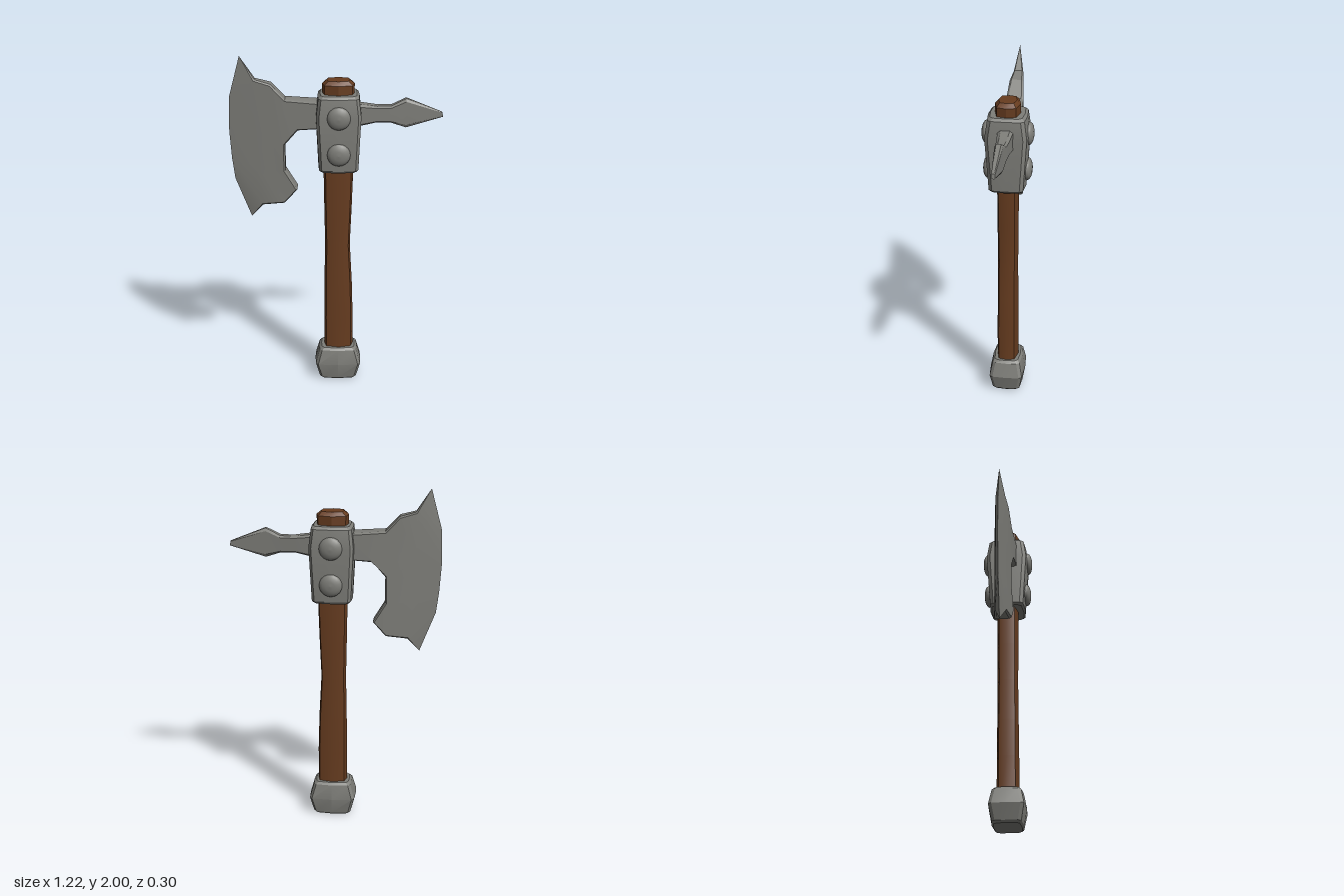
import * as THREE from 'three';
import { toCreasedNormals } from 'three/addons/utils/BufferGeometryUtils.js';

const steel = new THREE.MeshStandardMaterial({ color: 0x7f7f7a });
steel.name = 'steel grey';
const wood = new THREE.MeshStandardMaterial({ color: 0x683d20 });
wood.name = 'wood brown';

// Collects polygons as triangle fans, dropping collapsed triangles
function fromPolygons(polygons, crease = 0.5) {
  const pos = [];
  const tri = new THREE.Triangle();
  for (const p of polygons) {
    for (let i = 1; i < p.length - 1; i++) {
      tri.set(new THREE.Vector3(...p[0]), new THREE.Vector3(...p[i]), new THREE.Vector3(...p[i + 1]));
      if (tri.getArea() > 1e-8) pos.push(...p[0], ...p[i], ...p[i + 1]);
    }
  }
  const g = new THREE.BufferGeometry();
  g.setAttribute('position', new THREE.Float32BufferAttribute(pos, 3));
  g.computeVertexNormals();
  return toCreasedNormals(g, crease);
}

// Skins a stack of rings and caps both ends
function loft(rings, crease) {
  const n = rings[0].length;
  const polys = [[...rings[0]].reverse(), rings[rings.length - 1]];
  for (let i = 0; i < rings.length - 1; i++) {
    for (let j = 0; j < n; j++) {
      const k = (j + 1) % n;
      polys.push([rings[i][j], rings[i][k], rings[i + 1][k], rings[i + 1][j]]);
    }
  }
  return fromPolygons(polys, crease);
}

// Eight-sided handle section
const gripRing = ([y, cx, rx, rz]) =>
  [[1, 0], [0.86, -0.74], [0, -1], [-0.86, -0.74], [-1, 0], [-0.86, 0.74], [0, 1], [0.86, 0.74]]
    .map(([x, z]) => [cx + x * rx, y, z * rz]);

// Rectangle with chamfered corners and slightly bowed sides
const blockRing = (cx, c) => ([y, rx, rz]) => {
  const ring = [];
  for (const [sx, sz] of [[1, -1], [-1, -1], [-1, 1], [1, 1]]) {
    const corner = [[cx + sx * (rx - 0.004), y, sz * (rz - 0.008 - c)], [cx + sx * (rx - c), y, sz * (rz - 0.008)]];
    if (sx * sz > 0) corner.reverse();
    ring.push(...corner);
    ring.push(sx * sz < 0
      ? [cx, y, sz * rz]
      : [cx + sx * rx, y, 0]);
  }
  return ring;
};

// Blade: tapers from the neck to a sharp cutting edge, with a bevelled rim
function bladeGeometry() {
  const top = [-0.543, 2.0], bottom = [-0.495, 1.045];
  // rows from top to bottom: cutting edge, cheek, shoulder, back
  const rows = [
    [[-0.606, 1.765], [-0.46, 1.87], [-0.37, 1.845], [-0.29, 1.76]],
    [[-0.611, 1.565], [-0.47, 1.58], [-0.38, 1.54], [-0.293, 1.495]],
    [[-0.6, 1.4], [-0.46, 1.36], [-0.37, 1.34], [-0.293, 1.34]],
    [[-0.585, 1.28], [-0.425, 1.125], [-0.3, 1.14], [-0.225, 1.225]],
  ];
  const neck = [[-0.22, 1.58], [-0.06, 1.592], [-0.06, 1.742]];
  const [a, b, c, d] = rows;
  const sharp = new Set([top, bottom, ...rows.map((r) => r[0])]);
  const outline = [neck[2], a[3], a[2], a[1], top, a[0], b[0], c[0], d[0], bottom,
    d[1], d[2], d[3], c[3], b[3], neck[0], neck[1]];

  const stops = [[-0.61, 0], [-0.46, 0.028], [-0.3, 0.05], [-0.11, 0.063], [0, 0.066]];
  const half = (p) => {
    if (sharp.has(p)) return 0;
    const i = Math.max(1, stops.findIndex((s) => s[0] >= p[0]));
    const [x0, t0] = stops[i - 1], [x1, t1] = stops[i];
    return t0 + (t1 - t0) * (p[0] - x0) / (x1 - x0);
  };
  // face point, pulled in from the outline for the bevel
  const face = (p, s) => {
    const i = outline.indexOf(p);
    if (i < 0 || sharp.has(p)) return [p[0], p[1], s * half(p)];
    const n = outline.length, q = outline[(i + n - 1) % n], r = outline[(i + 1) % n];
    const dx = r[0] - q[0], dy = r[1] - q[1], l = Math.hypot(dx, dy);
    return [p[0] - 0.009 * dy / l, p[1] + 0.009 * dx / l, s * half(p)];
  };
  const rim = (p, s) => [p[0], p[1], s * 0.74 * half(p)];

  const faces = [[top, a[0], a[1]], [d[0], bottom, d[1]], [a[3], b[3], ...neck]];
  for (let i = 0; i < 3; i++) {
    for (let j = 0; j < 3; j++) {
      faces.push([rows[i][j], rows[i + 1][j], rows[i + 1][j + 1], rows[i][j + 1]]);
    }
  }
  const polys = [];
  for (const f of faces) {
    polys.push(f.map((p) => face(p, 1)), f.map((p) => face(p, -1)).reverse());
  }
  outline.forEach((p, i) => {
    const q = outline[(i + 1) % outline.length];
    const layers = (v) => [face(v, 1), rim(v, 1), rim(v, -1), face(v, -1)];
    const P = layers(p), Q = layers(q);
    for (let k = 0; k < 3; k++) polys.push([P[k], P[k + 1], Q[k + 1], Q[k]]);
  });
  return fromPolygons(polys, 0.45);
}

// Spike section: flattened octagon across x
const spikeRing = ([xTop, yTop, xBot, yBot, hz]) => {
  const bevel = 0.1 * (yTop - yBot);
  const at = (y, z) => [xBot + (xTop - xBot) * (y - yBot) / (yTop - yBot), y, z];
  return [at(yBot + bevel, -hz), at(yTop - bevel, -hz), at(yTop, -hz * 0.6), at(yTop, hz * 0.6),
    at(yTop - bevel, hz), at(yBot + bevel, hz), at(yBot, hz * 0.6), at(yBot, -hz * 0.6)];
};

export function createModel() {
  const model = new THREE.Group();
  model.name = 'battleAxe';
  const add = (name, geometry, material) => {
    const mesh = new THREE.Mesh(geometry, material);
    mesh.name = name;
    model.add(mesh);
    return mesh;
  };

  // Handle with a slight waist: y, centre x, half width, half depth
  add('handle', loft([
    [0.1, 0.012, 0.086, 0.064], [0.4, 0.012, 0.086, 0.064], [0.62, 0.01, 0.082, 0.062],
    [0.87, 0.006, 0.073, 0.06], [1.1, 0.009, 0.08, 0.062], [1.3, 0.011, 0.085, 0.063], [1.5, 0.012, 0.086, 0.064],
  ].map(gripRing), 0.9), wood);
  add('handleTop', loft([
    [1.7, 0.011, 0.089, 0.072], [1.843, 0.011, 0.092, 0.073], [1.865, 0.011, 0.066, 0.052],
  ].map(gripRing), 0.45), wood);

  // Steel blocks: y, half width, half depth
  add('pommel', loft([
    [0, 0.102, 0.08], [0.012, 0.114, 0.09], [0.105, 0.138, 0.107], [0.193, 0.114, 0.09], [0.207, 0.1, 0.078],
  ].map(blockRing(0.009, 0.018)), 0.4), steel);
  add('headBlock', loft([
    [1.34, 0.105, 0.096], [1.353, 0.116, 0.106], [1.67, 0.131, 0.127], [1.775, 0.119, 0.112], [1.79, 0.105, 0.098],
  ].map(blockRing(0.012, 0.02)), 0.4), steel);

  add('blade', bladeGeometry(), steel);

  // Rear spike: top x, top y, bottom x, bottom y, half depth
  add('spike', loft([
    [0.08, 1.733, 0.08, 1.59, 0.045], [0.14, 1.727, 0.14, 1.602, 0.043], [0.23, 1.715, 0.22, 1.619, 0.037],
    [0.31, 1.715, 0.31, 1.617, 0.03], [0.395, 1.757, 0.395, 1.588, 0.023], [0.6, 1.675, 0.605, 1.648, 0.01],
  ].map(spikeRing), 0.4), steel);

  // Domed rivets, two on each face
  const dome = [[0.066, -0.02], [0.066, 0.006], [0.06, 0.016], [0.045, 0.025], [0.025, 0.03], [0, 0.032]]
    .map(([r, h]) => new THREE.Vector2(r, h));
  const rivet = new THREE.LatheGeometry(dome, 20);
  for (const side of [1, -1]) {
    for (const [y, z] of [[1.67, 0.117], [1.455, 0.109]]) {
      const mesh = add(side > 0 ? 'frontRivet' : 'backRivet', rivet, steel);
      mesh.position.set(0.012, y, side * z);
      mesh.rotation.x = side * Math.PI / 2;
    }
  }
  return model;
}
